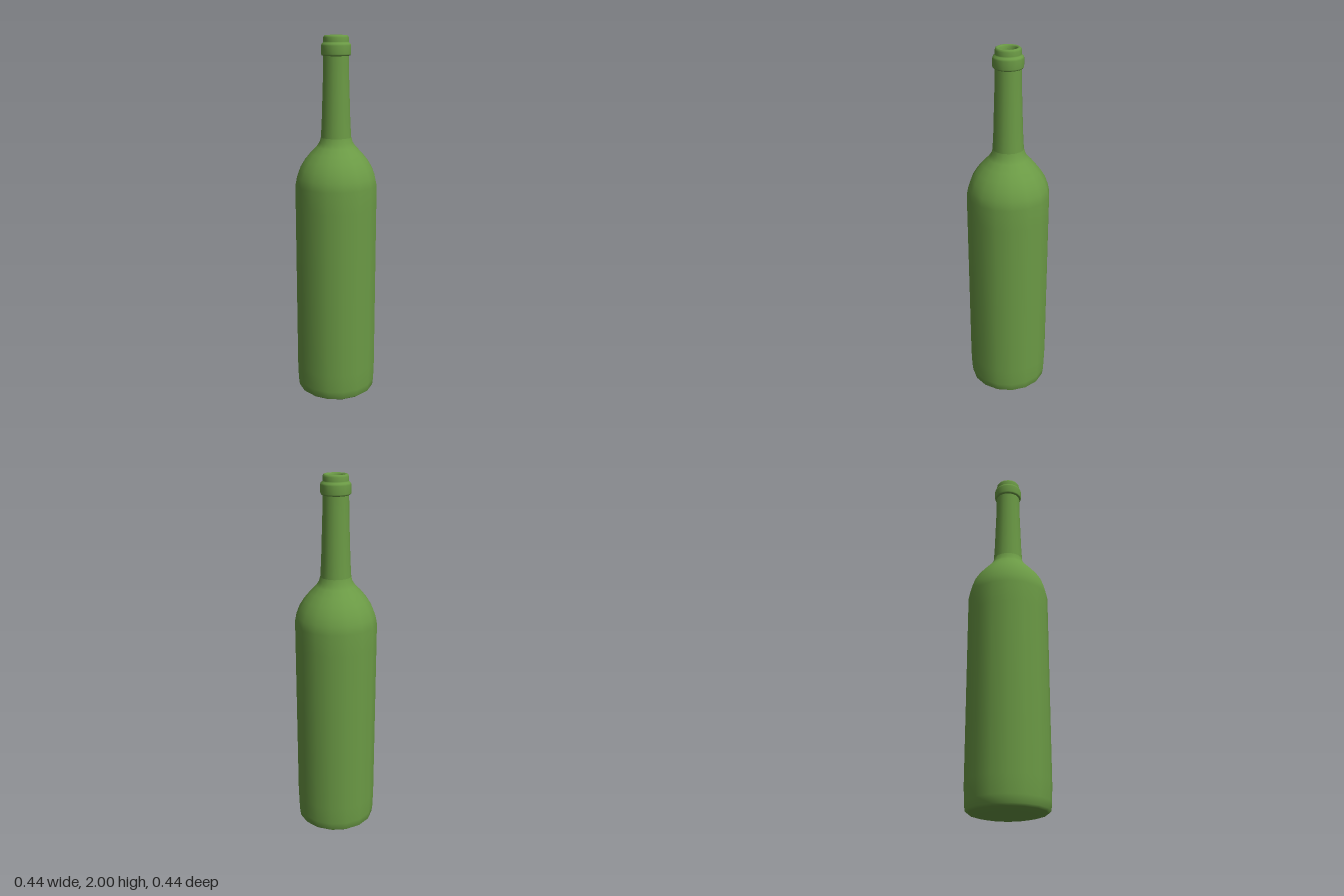
import * as THREE from 'three';

const SIDES = 16;

// Turned part from [radius, height] pairs, listed so the faces point outward
function turned(name, profile, material) {
  const points = profile.map(([r, y]) => new THREE.Vector2(r, y));
  const mesh = new THREE.Mesh(new THREE.LatheGeometry(points, SIDES), material);
  mesh.name = name;
  return mesh;
}

export function createModel() {
  const bottle = new THREE.Group();
  bottle.name = 'bottle';
  const glass = new THREE.MeshStandardMaterial({ color: 0x6b9a45 });

  // Slightly domed base, straight body and rounded shoulder, up to the neck
  bottle.add(turned('body', [
    [0, 0], [0.06, 0.003], [0.15, 0.015], [0.2, 0.027], [0.214, 0.038], [0.219, 0.08],
    [0.222, 0.18], [0.222, 1.1], [0.222, 1.22], [0.213, 1.265], [0.196, 1.31],
    [0.17, 1.352], [0.138, 1.391], [0.105, 1.425], [0.09, 1.447], [0.082, 1.475],
  ], glass));

  // Long neck, tapering slightly
  bottle.add(turned('neck', [
    [0.082, 1.475], [0.077, 1.56], [0.073, 1.68], [0.069, 1.8], [0.068, 1.9],
  ], glass));

  // Raised collar ring and lip, rolling over into the mouth
  bottle.add(turned('collarAndLip', [
    [0.067, 1.896], [0.075, 1.899], [0.079, 1.906], [0.079, 1.948], [0.076, 1.957],
    [0.068, 1.963], [0.067, 1.968], [0.067, 1.988], [0.063, 1.997], [0.058, 2],
    [0.05, 1.999], [0.046, 1.993], [0.044, 1.98],
  ], glass));

  // Hollow inside: bore of the neck, inner shoulder, wall and floor
  bottle.add(turned('interior', [
    [0.044, 1.98], [0.045, 1.8], [0.06, 1.47], [0.12, 1.38], [0.18, 1.3],
    [0.2, 1.22], [0.2, 0.1], [0.18, 0.06], [0, 0.05],
  ], glass));

  bottle.rotation.y = -0.012;
  const model = new THREE.Group();
  model.add(bottle);
  return model;
}
